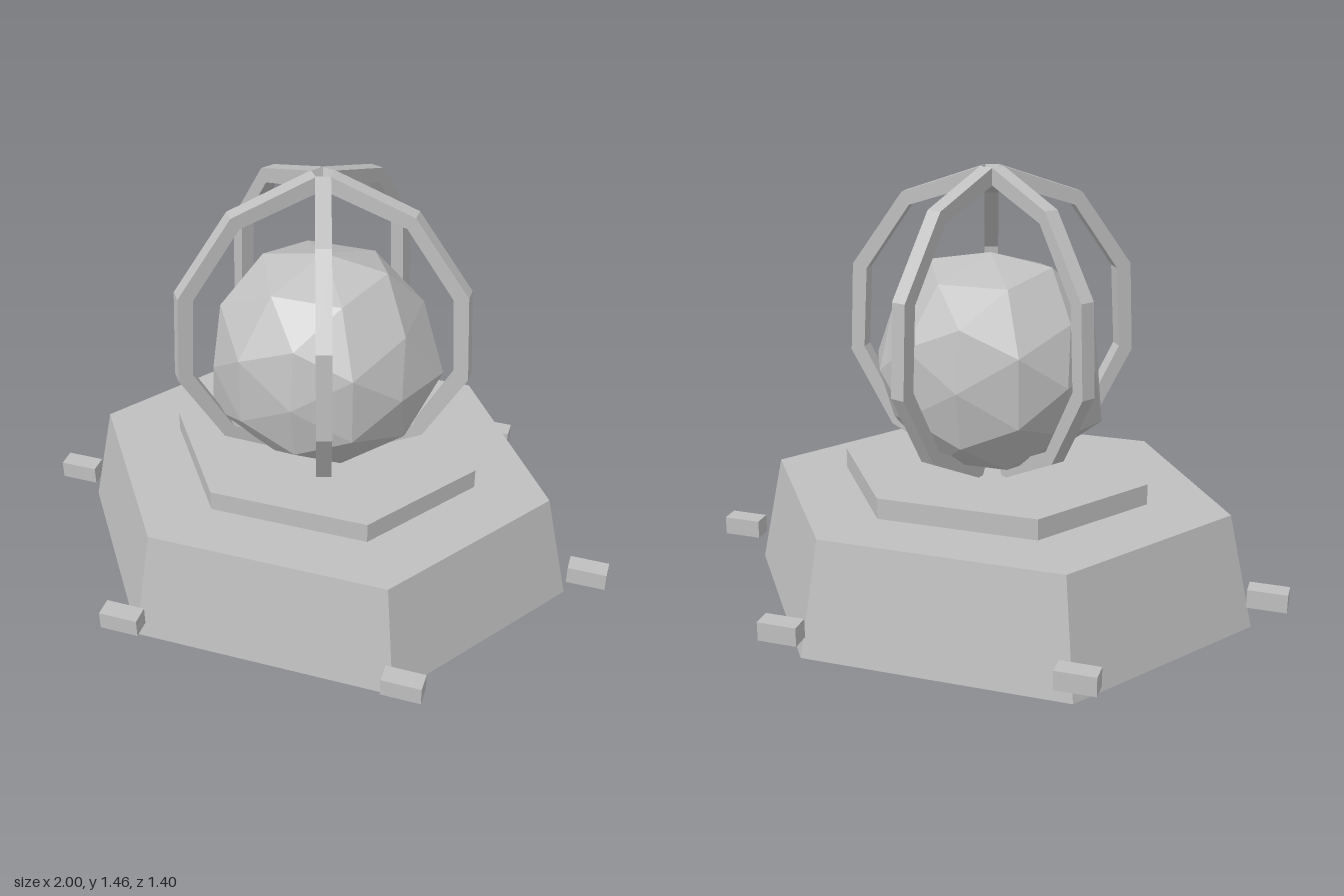
import * as THREE from 'three';

export function createModel() {
  const model = new THREE.Group();
  const stone = new THREE.MeshStandardMaterial({ color: 0xbfbfbf, flatShading: true });
  stone.name = 'grey stone';

  const add = (name, geometry, parent = model) => {
    const mesh = new THREE.Mesh(geometry, stone);
    mesh.name = name;
    parent.add(mesh);
    return mesh;
  };

  // Flattened hexagonal block with corners on the x axis
  const hexBlock = (name, topR, bottomR, y0, y1, depthScale) => {
    const g = new THREE.CylinderGeometry(topR, bottomR, y1 - y0, 6, 1, false, Math.PI / 2);
    g.scale(1, 1, depthScale);
    g.translate(0, (y0 + y1) / 2, 0);
    return add(name, g);
  };
  hexBlock('base', 0.79, 0.876, 0, 0.385, 0.824).position.set(-0.011, 0, -0.005);
  hexBlock('plinth', 0.528, 0.528, 0.385, 0.455, 0.81);

  // Small pegs floating round the foot of the base
  const pegs = new THREE.Group();
  pegs.name = 'pegs';
  model.add(pegs);
  for (const side of [-1, 1]) {
    for (const [x, z] of [[0.935, 0], [0.47, 0.668], [0.47, -0.668]]) {
      add('peg', new THREE.BoxGeometry(0.13, 0.063, 0.063), pegs).position.set(side * x, 0.112, z);
    }
  }

  // Rough faceted orb: a few corners are pushed out or in
  const orb = new THREE.IcosahedronGeometry(0.365, 1);
  const nudges = [
    [1, 0, 0, 1.08], [-0.81, -0.5, 0.31, 1.17], [-0.81, 0.5, 0.31, 1.04],
    [-0.53, 0.85, 0, 1.06], [0.53, 0.85, 0, 1.06], [-1, 0, 0, 0.96],
    [0, 0, 1, 0.95], [0, 0, -1, 0.95], [0.81, -0.5, 0.31, 1.03],
  ];
  const p = orb.attributes.position;
  const v = new THREE.Vector3();
  for (let i = 0; i < p.count; i++) {
    v.fromBufferAttribute(p, i);
    const dir = v.clone().normalize();
    for (const [x, y, z, s] of nudges) {
      if (dir.distanceTo(new THREE.Vector3(x, y, z)) < 0.1) v.multiplyScalar(s);
    }
    p.setXYZ(i, v.x, v.y, v.z);
  }
  orb.computeVertexNormals();
  add('orb', orb).position.set(0.005, 0.82, 0);

  // Cage of five angular square-section ribs
  const outer = [[0.03, 1.46], [0.295, 1.365], [0.47, 1.12], [0.485, 0.825], [0.345, 0.577], [0.09, 0.445]];
  const inner = [[0.015, 1.41], [0.27, 1.325], [0.422, 1.107], [0.438, 0.84], [0.314, 0.61], [0.07, 0.485]];
  const outline = [...outer, ...inner.reverse()].map(([x, y]) => new THREE.Vector2(x, y));
  const ribWidth = 0.048;
  const rib = new THREE.ExtrudeGeometry(new THREE.Shape(outline), { depth: ribWidth, bevelEnabled: false });
  rib.translate(0, 0, -ribWidth / 2);
  const cage = new THREE.Group();
  cage.name = 'cage';
  model.add(cage);
  for (let i = 0; i < 5; i++) add('rib', rib, cage).rotation.y = (i * Math.PI * 2) / 5;

  return model;
}
